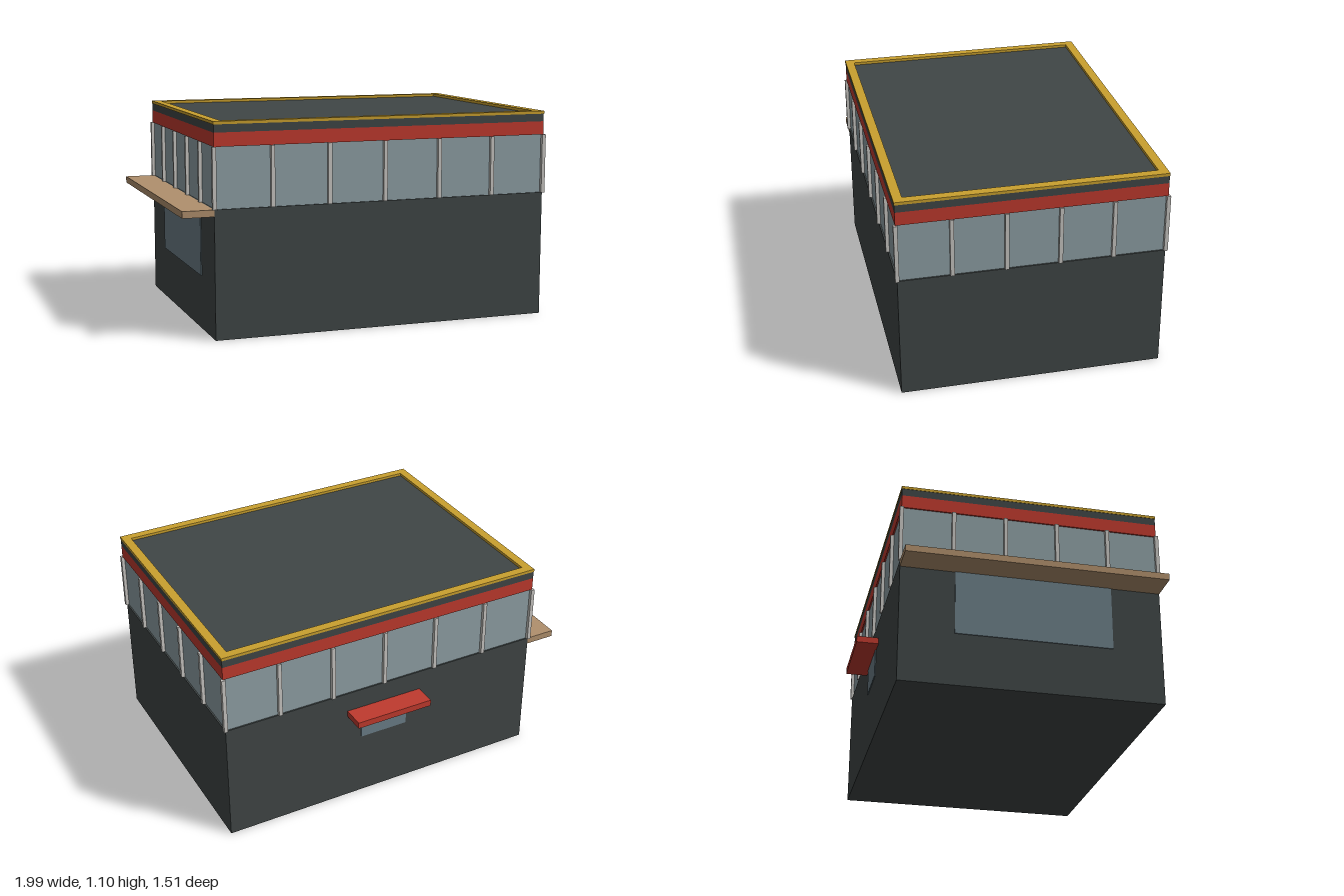
import * as THREE from 'three';

const W = 1.805, D = 1.368; // building footprint

export function createModel() {
  const mat = (name, color) => {
    const m = new THREE.MeshStandardMaterial({ color });
    m.name = name;
    return m;
  };
  const charcoal = mat('charcoal', 0x404646);
  const red = mat('red', 0xc03a2e);
  const gold = mat('gold', 0xc9a02e);
  const tan = mat('tan', 0xb0906d);
  const glass = mat('paleGlass', 0x8fa0a5);
  const darkGlass = mat('blueGlass', 0x6b7e87);
  const postGrey = mat('postGrey', 0xc8c6c2);

  const group = new THREE.Group();
  group.name = 'building';

  // Box given by its minimum and maximum on each axis
  const box = (name, material, x0, x1, y0, y1, z0, z1) => {
    const mesh = new THREE.Mesh(new THREE.BoxGeometry(x1 - x0, y1 - y0, z1 - z0), material);
    mesh.position.set((x0 + x1) / 2, (y0 + y1) / 2, (z0 + z1) / 2);
    mesh.name = name;
    group.add(mesh);
    return mesh;
  };
  // Full-footprint storey, inset from the walls
  const layer = (name, material, y0, y1, inset = 0) =>
    box(name, material, -W / 2 + inset, W / 2 - inset, y0, y1, -D / 2 + inset, D / 2 - inset);

  layer('lowerWalls', charcoal, 0, 0.66);
  layer('windowBand', glass, 0.66, 0.97, 0.008);
  layer('redBand', red, 0.97, 1.04);
  layer('roof', charcoal, 1.04, 1.08);

  // Gold coping around the roof edge
  const outline = (w, d, target) => {
    target.moveTo(-w, -d);
    target.lineTo(w, -d);
    target.lineTo(w, d);
    target.lineTo(-w, d);
    target.closePath();
    return target;
  };
  const frame = outline(W / 2 + 0.002, D / 2 + 0.002, new THREE.Shape());
  frame.holes.push(outline(W / 2 - 0.045, D / 2 - 0.045, new THREE.Path()));
  const coping = new THREE.Mesh(
    new THREE.ExtrudeGeometry(frame, { depth: 0.015, bevelEnabled: false }).rotateX(-Math.PI / 2), gold);
  coping.position.y = 1.08;
  coping.name = 'roofCoping';
  group.add(coping);

  // Window posts on all four sides, corners included once
  const post = (x, z) => box('windowPost', postGrey, x - 0.01, x + 0.01, 0.66, 0.97, z - 0.01, z + 0.01);
  for (const side of [-1, 1]) {
    for (let i = 0; i <= 6; i++) post(-W / 2 + (W * i) / 6, (side * D) / 2);
    for (let i = 1; i < 5; i++) post((side * W) / 2, -D / 2 + (D * i) / 5);
  }

  // Long shelf with the serving window beneath it
  box('sideShelf', tan, -W / 2 - 0.162, -W / 2, 0.625, 0.66, -D / 2, D / 2);
  box('sideWindow', darkGlass, -W / 2 - 0.005, -W / 2 + 0.002, 0.28, 0.625, -0.4, 0.42);

  // Small canopy and window at the back
  box('backCanopy', red, -0.216, 0.216, 0.515, 0.55, -D / 2 - 0.119, -D / 2);
  box('backWindow', darkGlass, -0.135, 0.135, 0.36, 0.515, -D / 2 - 0.005, -D / 2 + 0.002);

  // The building stands very slightly turned
  group.rotation.y = -0.012;
  group.position.set(0.076, 0, 0.048);
  const model = new THREE.Group();
  model.add(group);
  return model;
}
